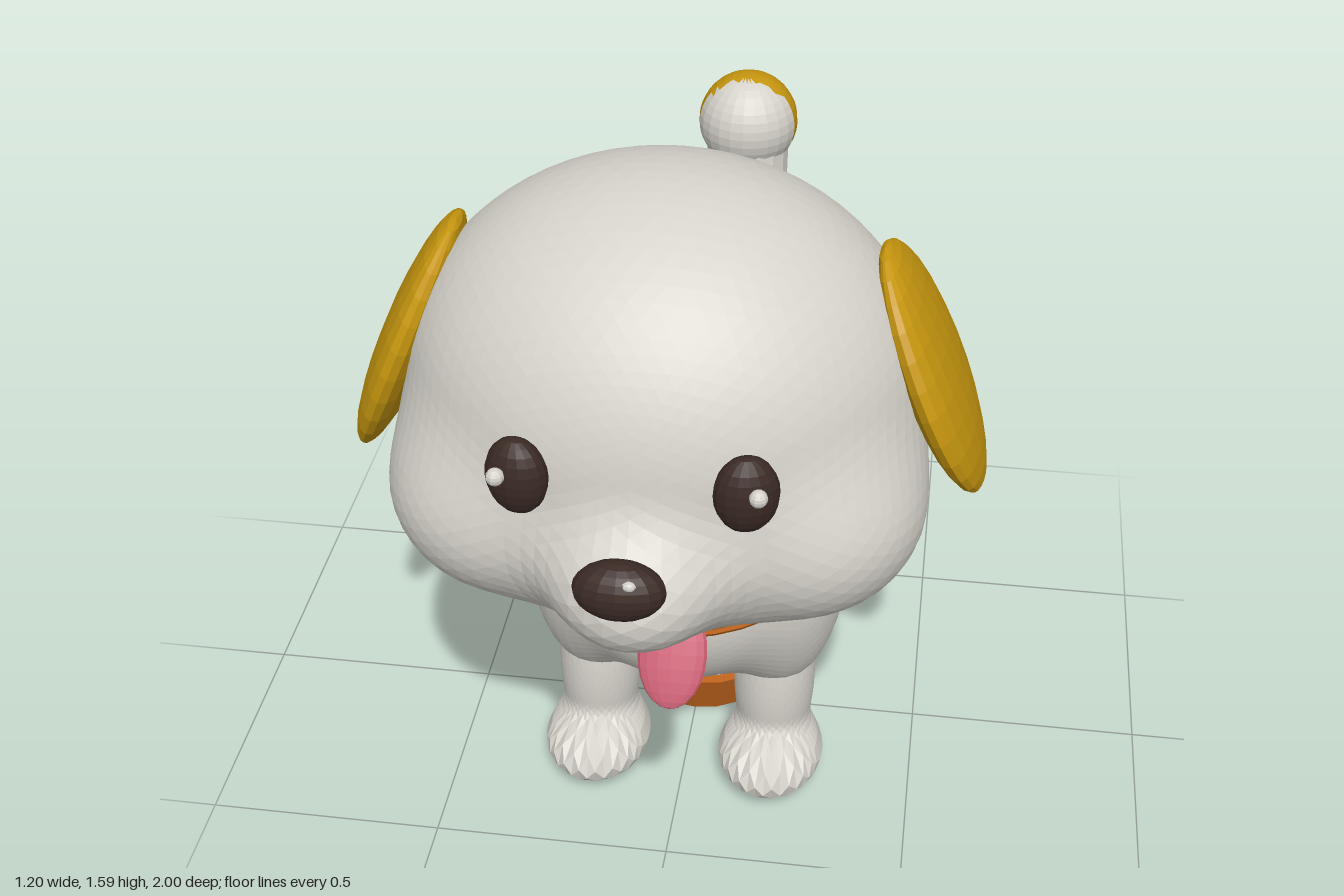
import * as THREE from 'three';

const mat = (name, color) => {
  const m = new THREE.MeshStandardMaterial({ color, flatShading: true });
  m.name = name;
  return m;
};

// distance to an ellipsoid [x, y, z, rx, ry, rz]
function ellipsoidDistance(p, [x, y, z, a, b, c]) {
  const u = (p.x - x) / a, v = (p.y - y) / b, w = (p.z - z) / c;
  const k0 = Math.hypot(u, v, w);
  return k0 * (k0 - 1) / (Math.hypot(u / a, v / b, w / c) || 1);
}

// smoothly blended ellipsoids
function field(p, parts, k) {
  let d = 10;
  for (const e of parts) {
    const f = ellipsoidDistance(p, e);
    const h = Math.max(k - Math.abs(d - f), 0) / k;
    d = Math.min(d, f) - h * h * k / 4;
  }
  return d;
}

// sphere whose vertices are pushed out to the blended surface
function blob(center, stretch, parts, detail, k = 0.08) {
  const g = new THREE.IcosahedronGeometry(1, detail);
  const pos = g.attributes.position;
  const c = new THREE.Vector3(...center), s = new THREE.Vector3(...stretch);
  const dir = new THREE.Vector3(), p = new THREE.Vector3();
  for (let i = 0; i < pos.count; i++) {
    dir.fromBufferAttribute(pos, i).multiply(s);
    let lo = 0, hi = 3;
    for (let n = 0; n < 26; n++) {
      const t = (lo + hi) / 2;
      p.copy(c).addScaledVector(dir, t);
      if (field(p, parts, k) < 0) lo = t; else hi = t;
    }
    p.copy(c).addScaledVector(dir, lo);
    pos.setXYZ(i, p.x, p.y, p.z);
  }
  g.computeVertexNormals();
  return g;
}

// both sides of an ellipsoid
const pair = ([x, ...rest]) => [[x, ...rest], [-x, ...rest]];

export function createModel() {
  const fur = mat('fur', 0xd6d3cb);
  const gold = mat('gold', 0xc6960f);
  const orange = mat('orange', 0xc4671f);
  const brown = mat('dark brown', 0x3a2a24);
  const pink = mat('pink', 0xcb5f74);

  const model = new THREE.Group();
  model.name = 'puppy';
  const add = (name, geo, material, x = 0, y = 0, z = 0) => {
    const m = new THREE.Mesh(geo, material);
    m.name = name;
    m.position.set(x, y, z);
    model.add(m);
    return m;
  };
  const ball = (name, material, [x, y, z], [a, b, c], w = 16, h = 12) =>
    add(name, new THREE.SphereGeometry(1, w, h).scale(a, b, c), material, x, y, z);

  // head: skull, cheeks, jaw and muzzle
  add('head', blob([0, 1.1, 0.48], [0.48, 0.42, 0.42], [
    [0, 1.175, 0.415, 0.48, 0.415, 0.415],
    ...pair([0.25, 1.02, 0.55, 0.245, 0.21, 0.25]),
    [0, 0.93, 0.5, 0.33, 0.17, 0.28],
    [0, 1.0, 0.71, 0.18, 0.15, 0.235],
  ], 15), fur);

  // body: chest, belly, rump, shoulders, haunches, neck and tail root
  add('body', blob([0, 0.56, -0.1], [0.33, 0.3, 0.55], [
    [0, 0.58, 0.12, 0.315, 0.3, 0.33],
    [0, 0.555, -0.2, 0.305, 0.275, 0.48],
    [0, 0.54, -0.45, 0.29, 0.26, 0.29],
    ...pair([0.2, 0.5, 0.16, 0.13, 0.25, 0.16]),
    ...pair([0.2, 0.42, -0.52, 0.14, 0.19, 0.16]),
    [0, 0.8, 0.27, 0.29, 0.2, 0.25],
    [0, 0.66, -0.69, 0.1, 0.12, 0.11],
  ], 17), fur);

  // legs with paws
  const leg = blob([0, 0.13, 0.01], [0.1, 0.2, 0.12], [
    [0, 0.25, 0, 0.088, 0.24, 0.095],
    [0, 0.075, 0.05, 0.115, 0.068, 0.15],
  ], 8, 0.04);
  for (const s of [1, -1]) {
    add('frontLeg', leg, fur, s * 0.193, 0, 0.175);
    add('hindLeg', leg, fur, s * 0.193, 0, -0.535);
  }

  // tail
  const path = new THREE.CatmullRomCurve3(
    [[0.6, -0.58], [0.69, -0.74], [0.81, -0.825], [0.94, -0.865], [1.05, -0.883]]
      .map(([y, z]) => new THREE.Vector3(0, y, z)));
  add('tail', new THREE.TubeGeometry(path, 14, 0.098, 16), fur);

  // tail tip, gold on its upper rear faces
  const tip = new THREE.SphereGeometry(0.118, 24, 18).toNonIndexed();
  const tp = tip.attributes.position;
  for (let i = 0; i < tp.count; i += 3) {
    const y = (tp.getY(i) + tp.getY(i + 1) + tp.getY(i + 2)) / 3;
    const z = (tp.getZ(i) + tp.getZ(i + 1) + tp.getZ(i + 2)) / 3;
    tip.addGroup(i, 3, z < 0.03 && y > -0.04 + z * 0.3 ? 1 : 0);
  }
  add('tailTip', tip, [fur, gold], 0, 1.05, -0.882);

  for (const s of [1, -1]) {
    // ears
    const ear = ball('ear', gold, [s * 0.487, 1.213, 0.39], [0.05, 0.262, 0.182], 20, 14);
    ear.rotation.z = s * 0.4;
    // eyes and their glints
    const eye = ball('eye', brown, [s * 0.195, 1.215, 0.82], [0.057, 0.075, 0.04]);
    eye.rotation.y = s * 0.25;
    ball('eyeGlint', fur, [s * 0.22, 1.243, 0.868], [0.016, 0.016, 0.016], 10, 8);
  }

  // nose
  const nose = ball('nose', brown, [0, 1.095, 0.953], [0.08, 0.054, 0.045]);
  nose.rotation.x = -0.2;
  ball('noseGlint', fur, [0.022, 1.128, 0.982], [0.012, 0.009, 0.009], 8, 6);

  // tongue
  const tongue = ball('tongue', pink, [0.063, 0.823, 0.79], [0.063, 0.102, 0.016]);
  tongue.rotation.x = -0.53;

  // collar with a groove round the middle
  const lathe = (pts, n) =>
    new THREE.LatheGeometry(pts.map(([r, y]) => new THREE.Vector2(r, y)), n);
  const collar = add('collar', lathe([
    [0.26, -0.038], [0.325, -0.042], [0.348, -0.026], [0.35, -0.012], [0.338, 0],
    [0.35, 0.012], [0.348, 0.026], [0.325, 0.042], [0.26, 0.038],
  ], 40).scale(1, 1, 0.83), orange, 0, 0.815, 0.315);
  collar.rotation.x = 0.53;

  // food bowl
  const bz = -0.115;
  add('bowl', lathe([
    [0, 0], [0.16, 0], [0.205, 0.115], [0.18, 0.115], [0.155, 0.05], [0, 0.05],
  ], 20), orange, 0, 0, bz);
  add('bowlFilling', new THREE.CylinderGeometry(0.172, 0.16, 0.03, 20), fur, 0, 0.07, bz);
  for (let i = 0; i < 8; i++) {
    const a = i * Math.PI / 4 + 0.2;
    ball('kibble', orange, [Math.cos(a) * 0.115, 0.092, bz + Math.sin(a) * 0.115],
      [0.028, 0.022, 0.028], 10, 8);
  }

  // swirled heap in the bowl
  add('heap', lathe([
    [0, 0.08], [0.07, 0.085], [0.08, 0.105], [0.066, 0.124], [0.046, 0.126], [0.055, 0.138],
    [0.052, 0.155], [0.032, 0.165], [0.022, 0.17], [0, 0.2],
  ], 14), brown, 0, 0, bz);

  return model;
}
